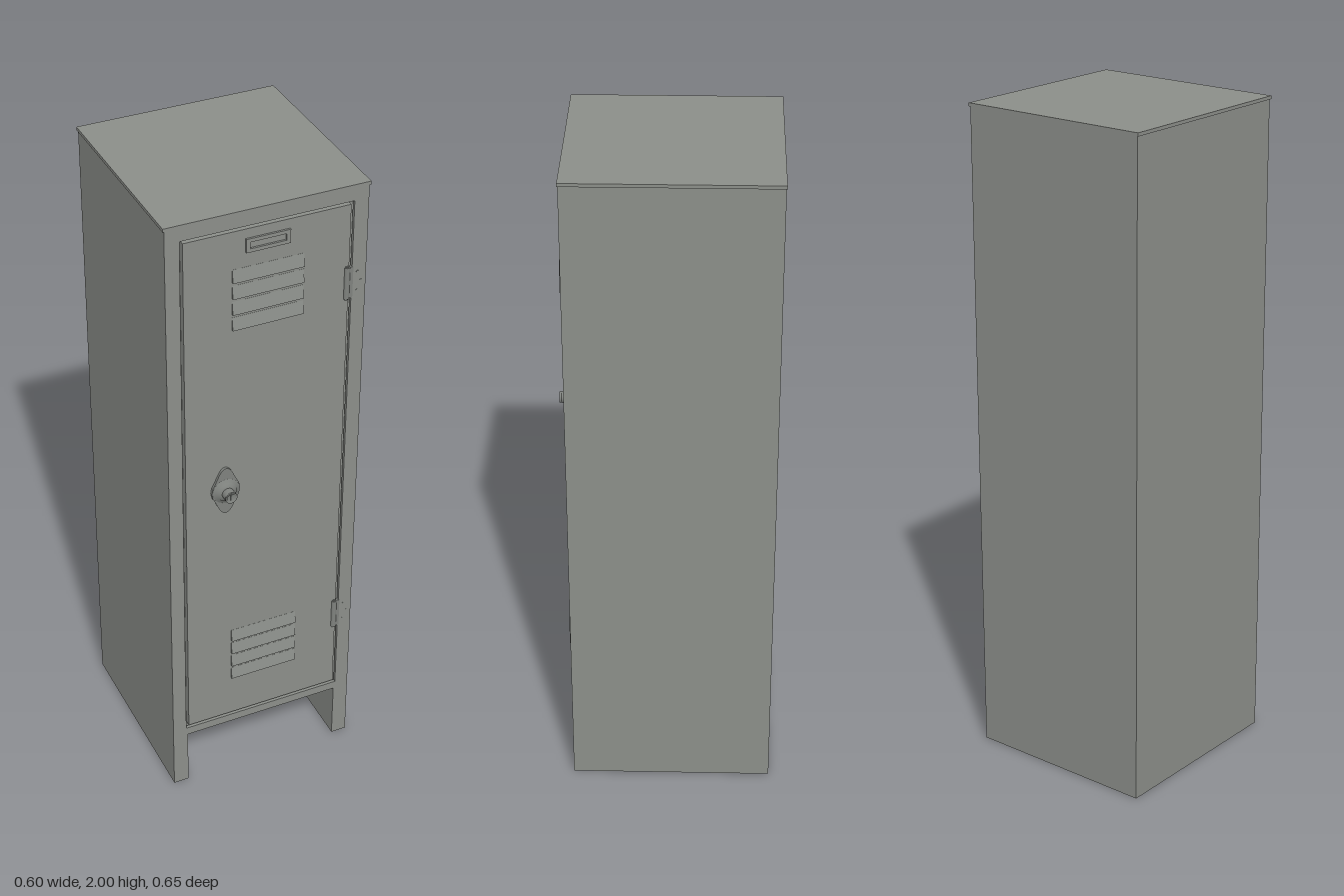
import * as THREE from 'three';

const steel = new THREE.MeshStandardMaterial({ color: 0x8c8f8a });
steel.name = 'grey steel';
const hardware = new THREE.MeshStandardMaterial({ color: 0x7f827e });
hardware.name = 'dark steel';

const W = 0.298, BACK = -0.323, FRONT = 0.28, TOP = 1.99, FLOOR = 0.19, SHEET = 0.004;

export function createModel() {
  const root = new THREE.Group();
  root.name = 'locker';

  const add = (name, geometry, material, x = 0, y = 0, z = 0) => {
    const mesh = new THREE.Mesh(geometry, material);
    mesh.name = name;
    mesh.position.set(x, y, z);
    root.add(mesh);
    return mesh;
  };
  // Box given by its limits on each axis
  const box = (name, x0, x1, y0, y1, z0, z1, material = steel) =>
    add(name, new THREE.BoxGeometry(x1 - x0, y1 - y0, z1 - z0), material,
      (x0 + x1) / 2, (y0 + y1) / 2, (z0 + z1) / 2);
  const rect = (path, x0, x1, y0, y1) =>
    path.moveTo(x0, y0).lineTo(x1, y0).lineTo(x1, y1).lineTo(x0, y1).closePath();
  const extrude = (shape, depth) =>
    new THREE.ExtrudeGeometry(shape, { depth, bevelEnabled: false, curveSegments: 16 });

  // Sheet-metal cabinet, with hollow legs that are open underneath
  for (const s of [-1, 1]) {
    const outer = s * (W - SHEET / 2), inner = s * (0.25 + SHEET / 2);
    box('sideWall', outer - SHEET / 2, outer + SHEET / 2, 0, TOP, BACK, FRONT - 0.005);
    box('legInnerWall', inner - SHEET / 2, inner + SHEET / 2, 0, FLOOR, BACK + 0.05, FRONT - 0.005);
  }
  box('backWall', -W, W, 0, TOP, BACK, BACK + SHEET);
  box('backInnerWall', -0.25, 0.25, 0, FLOOR, BACK + 0.046, BACK + 0.05);
  box('floor', -W + SHEET, W - SHEET, FLOOR, FLOOR + SHEET, BACK + SHEET, FRONT - 0.005);
  box('topPanel', -0.302, 0.302, TOP, 2, -0.325, 0.282);

  // Front frame with a leg notch and a door opening
  const frame = new THREE.Shape();
  frame.moveTo(-W, 0).lineTo(-0.25, 0).lineTo(-0.25, FLOOR).lineTo(0.25, FLOOR)
    .lineTo(0.25, 0).lineTo(W, 0).lineTo(W, TOP).lineTo(-W, TOP).closePath();
  frame.holes.push(rect(new THREE.Path(), -0.255, 0.255, 0.217, 1.95));
  add('frontFrame', extrude(frame, 0.01), steel, 0, 0, FRONT - 0.01);
  box('doorStop', -0.27, 0.27, 0.2, 1.97, 0.256, 0.26);

  // Door
  const doorZ = 0.279;
  box('door', -0.246, 0.246, 0.226, 1.941, 0.26, doorZ);

  // Vent louvers: wedges that slope out toward a sharp lower lip
  const louver = new THREE.BoxGeometry(0.212, 0.04, 0.007).toNonIndexed();
  const p = louver.attributes.position;
  for (let i = 0; i < p.count; i++) {
    if (p.getY(i) > 0 && p.getZ(i) > 0) p.setZ(i, -0.003);
  }
  louver.computeVertexNormals();
  for (const lowest of [0.37, 1.635]) {
    for (let i = 0; i < 4; i++) {
      add('ventLouver', louver, steel, 0.002, lowest + i * 0.05 + 0.02, doorZ + 0.0034);
    }
  }

  // Label holder
  const holder = rect(new THREE.Shape(), -0.065, 0.065, 1.87, 1.912);
  holder.holes.push(rect(new THREE.Path(), -0.053, 0.053, 1.881, 1.901));
  add('labelHolder', extrude(holder, 0.006), steel, 0, 0, doorZ);

  // Hinges: knuckle, pin caps, leaf and rivets
  for (const y of [0.505, 1.695]) {
    add('hingeKnuckle', new THREE.CylinderGeometry(0.009, 0.009, 0.1, 16), hardware, 0.241, y, 0.277);
    for (const s of [-1, 1]) {
      add('hingePinCap', new THREE.CylinderGeometry(0.006, 0.006, 0.004, 12), hardware, 0.241, y + s * 0.052, 0.277);
    }
    box('hingeLeaf', 0.246, 0.258, y - 0.05, y + 0.05, 0.272, 0.282, hardware);
    for (const [dx, dy] of [[0.272, -0.03], [0.283, 0], [0.272, 0.03]]) {
      add('hingeRivet', new THREE.CylinderGeometry(0.004, 0.004, 0.002, 10), steel, dx, y + dy, FRONT)
        .rotation.x = Math.PI / 2;
    }
  }

  // Lock: pointed backplate, stepped collar and dial
  const kx = -0.125, ky = 1.1;
  const plate = new THREE.Shape();
  plate.moveTo(0, -0.079);
  plate.bezierCurveTo(0.018, -0.079, 0.025, -0.045, 0.04, -0.02);
  plate.quadraticCurveTo(0.046, 0, 0.04, 0.02);
  plate.bezierCurveTo(0.025, 0.045, 0.018, 0.079, 0, 0.079);
  plate.bezierCurveTo(-0.018, 0.079, -0.025, 0.045, -0.04, 0.02);
  plate.quadraticCurveTo(-0.046, 0, -0.04, -0.02);
  plate.bezierCurveTo(-0.025, -0.045, -0.018, -0.079, 0, -0.079);
  add('lockPlate', extrude(plate, 0.008), hardware, kx, ky, doorZ);

  const lathe = (name, pts) => {
    const mesh = add(name, new THREE.LatheGeometry(pts.map(([r, h]) => new THREE.Vector2(r, h)), 32),
      hardware, kx, ky, doorZ);
    mesh.rotation.x = Math.PI / 2;
  };
  lathe('lockCollar', [[0.044, 0], [0.044, 0.004], [0.04, 0.009], [0.032, 0.011],
    [0.03, 0.015], [0.022, 0.018], [0.018, 0.021], [0, 0.021]]);
  lathe('lockDialSide', [[0.018, 0.02], [0.018, 0.038], [0.0165, 0.039], [0.0165, 0.041], [0.018, 0.042], [0.018, 0.046]]);
  lathe('lockDialFace', [[0.018, 0.046], [0.013, 0.046], [0.012, 0.043], [0, 0.043]]);
  box('keyway', kx - 0.002, kx + 0.002, ky - 0.008, ky + 0.008, doorZ + 0.042, doorZ + 0.045, hardware);

  return root;
}
